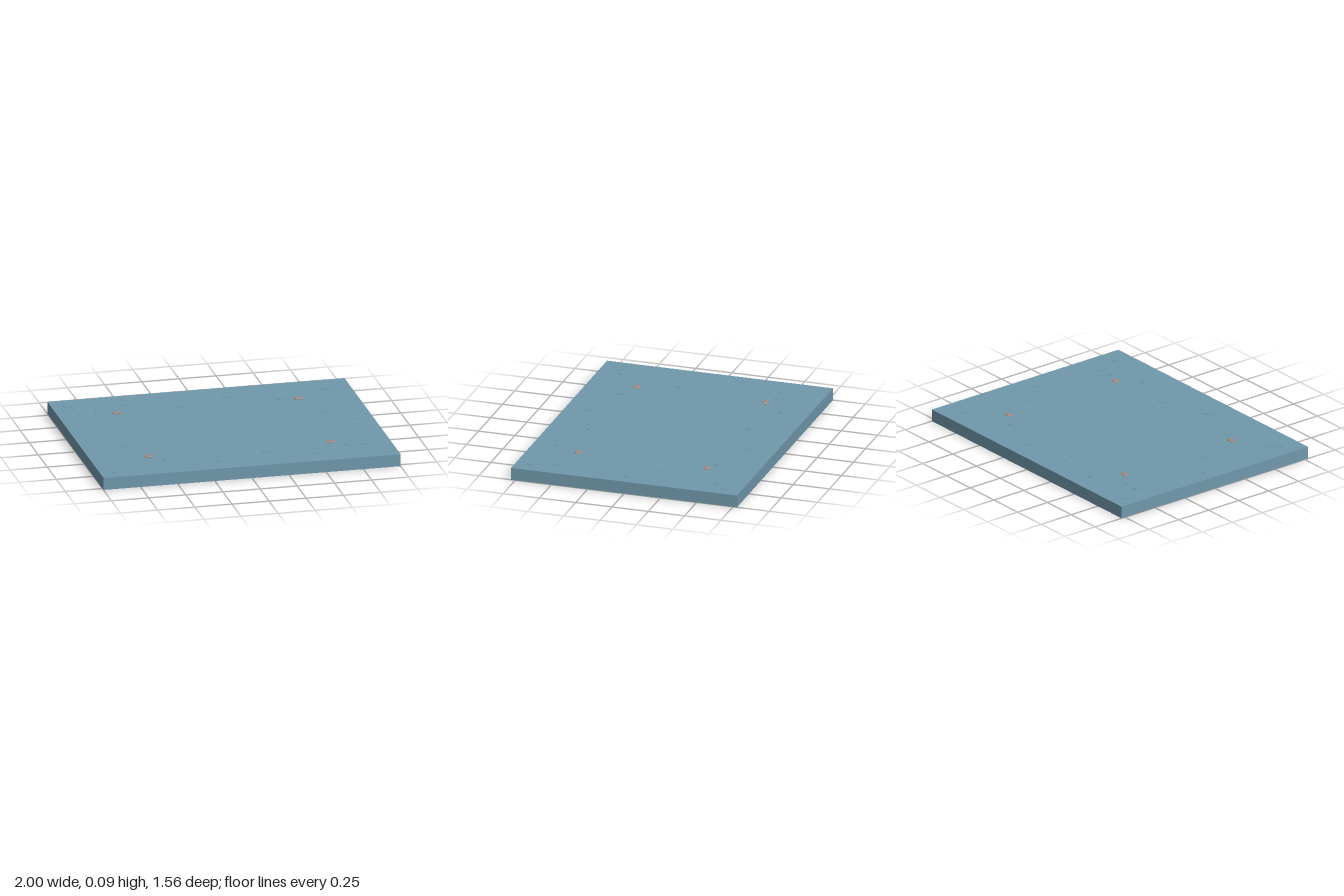
import * as THREE from 'three';

export function createModel() {
  const model = new THREE.Group();
  const slabMat = new THREE.MeshStandardMaterial({ color: 0x7098ac });
  const pebbleMat = new THREE.MeshStandardMaterial({ color: 0xa08c82 });
  const top = 0.083;

  function add(name, geometry, material, x, y, z) {
    const mesh = new THREE.Mesh(geometry, material);
    mesh.name = name;
    mesh.position.set(x, y, z);
    model.add(mesh);
    return mesh;
  }

  // Base slab
  add('slab', new THREE.BoxGeometry(2, top, 1.556), slabMat, 0, top / 2, 0);

  // Thin discs set almost flush with the top face
  const largeDisc = new THREE.CylinderGeometry(0.036, 0.036, 0.004, 32);
  const smallDisc = new THREE.CylinderGeometry(0.032, 0.032, 0.003, 32);

  // Staggered rows of large discs along the back and front edges
  for (let i = 0; i < 6; i++) {
    const x = -0.833 + i * 0.3333;
    const odd = i % 2 === 1;
    add('largeDiscBack', largeDisc, slabMat, x, top, odd ? -0.611 : -0.5);
    add('largeDiscFront', largeDisc, slabMat, x, top, odd ? 0.5 : 0.611);
  }

  // Small discs down each side, plus inner ones that mirror through the centre
  for (const side of [-1, 1]) {
    for (const z of [-0.667, 0, 0.667]) {
      add('smallDiscOuter', smallDisc, slabMat, side * 0.889, top, z);
    }
    for (const z of [0.5, -0.167]) {
      add('smallDiscInner', smallDisc, slabMat, side * 0.722, top, side * z);
    }
  }

  // Flattened pebbles near the corners
  const pebble = new THREE.SphereGeometry(1, 24, 16);
  for (const x of [-0.611, 0.611]) {
    for (const z of [-0.444, 0.444]) {
      add('pebble', pebble, pebbleMat, x, 0.089, z).scale.set(0.032, 0.006, 0.022);
    }
  }

  return model;
}
